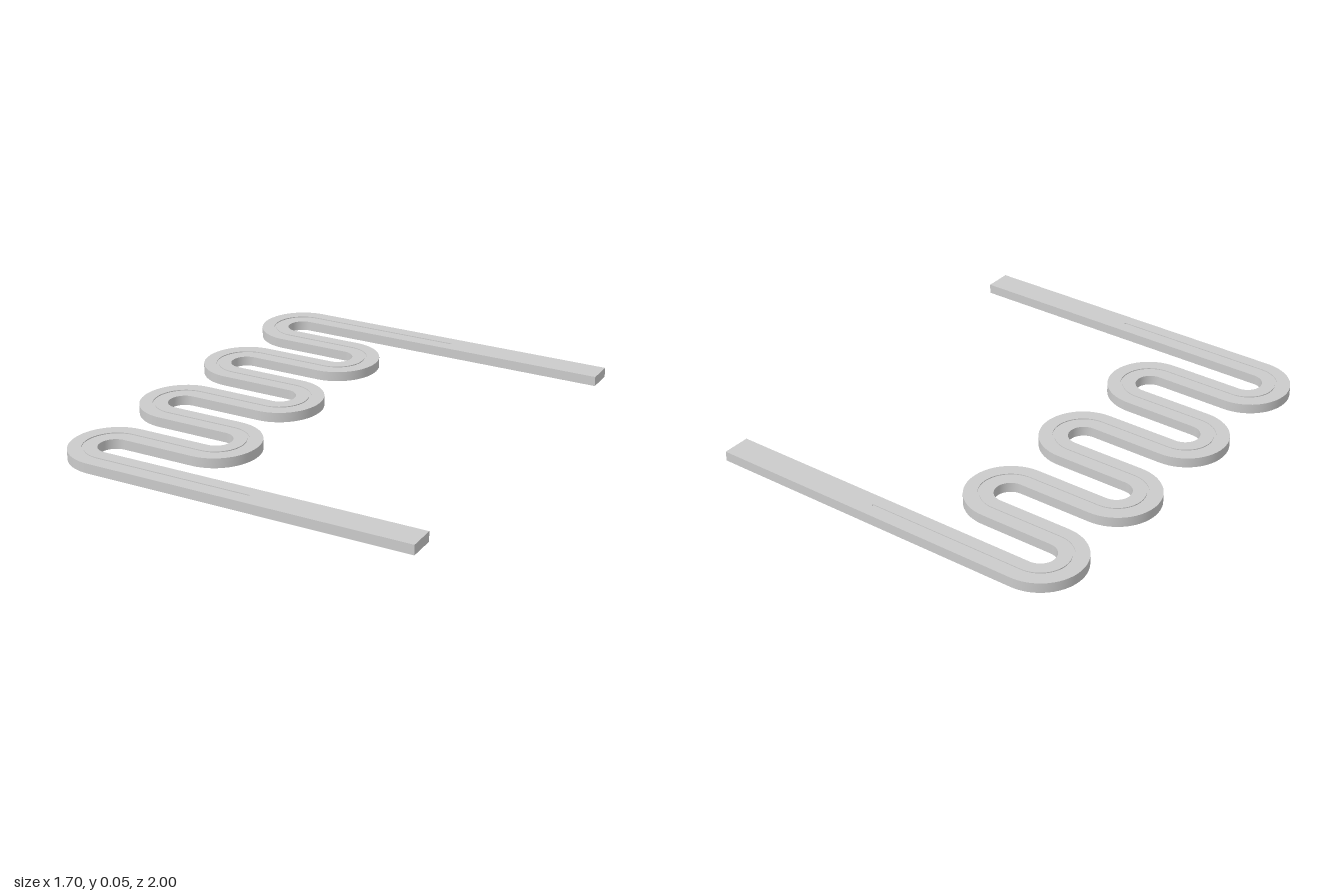
import * as THREE from 'three';

const H = 0.045, W = 0.0635;          // height and half width of the strip
const G = 0.005, D = 0.004;           // half width and depth of the groove
const ROW = 0.2676, Z0 = -0.9365;     // row spacing and first row
const LEFT = -0.653, RIGHT = -0.313;  // centres of the turns
const GROOVE_END = 0.09, END = 0.85;

// Serpentine centre line: position plus exact tangent
function serpentinePath() {
  const pts = [{ x: GROOVE_END, z: Z0, tx: -1, tz: 0 }];
  const R = ROW / 2, steps = 28;
  for (let k = 0; k < 7; k++) {
    const s = k % 2 ? 1 : -1;
    const cx = s < 0 ? LEFT : RIGHT, cz = Z0 + ROW * (k + 0.5);
    for (let i = 0; i <= steps; i++) {
      const a = (Math.PI * i) / steps;
      pts.push({ x: cx + s * R * Math.sin(a), z: cz - R * Math.cos(a), tx: s * Math.cos(a), tz: Math.sin(a) });
    }
  }
  pts.push({ x: GROOVE_END, z: -Z0, tx: 1, tz: 0 });
  return pts;
}

// Sweep an open section; each section edge is its own strip, so corners stay sharp
function sweep(path, section) {
  const pos = [], idx = [];
  for (let j = 0; j < section.length - 1; j++) {
    const base = pos.length / 3;
    path.forEach((p, i) => {
      for (const [o, y] of [section[j], section[j + 1]]) pos.push(p.x - p.tz * o, y, p.z + p.tx * o);
      if (i < path.length - 1) {
        const a = base + i * 2;
        idx.push(a, a + 1, a + 2, a + 1, a + 3, a + 2);
      }
    });
  }
  const g = new THREE.BufferGeometry();
  g.setAttribute('position', new THREE.Float32BufferAttribute(pos, 3));
  g.setIndex(idx);
  g.computeVertexNormals();
  return g;
}

export function createModel() {
  const group = new THREE.Group();
  const mat = new THREE.MeshStandardMaterial({ color: 0xcccccc, side: THREE.DoubleSide });
  const add = (name, geo, x = 0, y = 0, z = 0) => {
    const m = new THREE.Mesh(geo, mat);
    m.name = name;
    m.position.set(x, y, z);
    group.add(m);
    return m;
  };

  // Winding channel, open below, with a fine groove along its top
  const section = [[-W, 0], [-W, H], [-G, H], [-G, H - D], [G, H - D], [G, H], [W, H], [W, 0]];
  add('serpentineChannel', sweep(serpentinePath(), section));

  // Two straight end bars and the closed undersides leading to them
  for (const [side, z] of [['back', Z0], ['front', -Z0]]) {
    add(side + 'EndBar', new THREE.BoxGeometry(END - GROOVE_END, H, 2 * W), (END + GROOVE_END) / 2, H / 2, z);
    const plate = new THREE.PlaneGeometry(GROOVE_END - LEFT, 2 * W).rotateX(Math.PI / 2);
    add(side + 'Underside', plate, (GROOVE_END + LEFT) / 2, 0, z);
  }
  return group;
}
